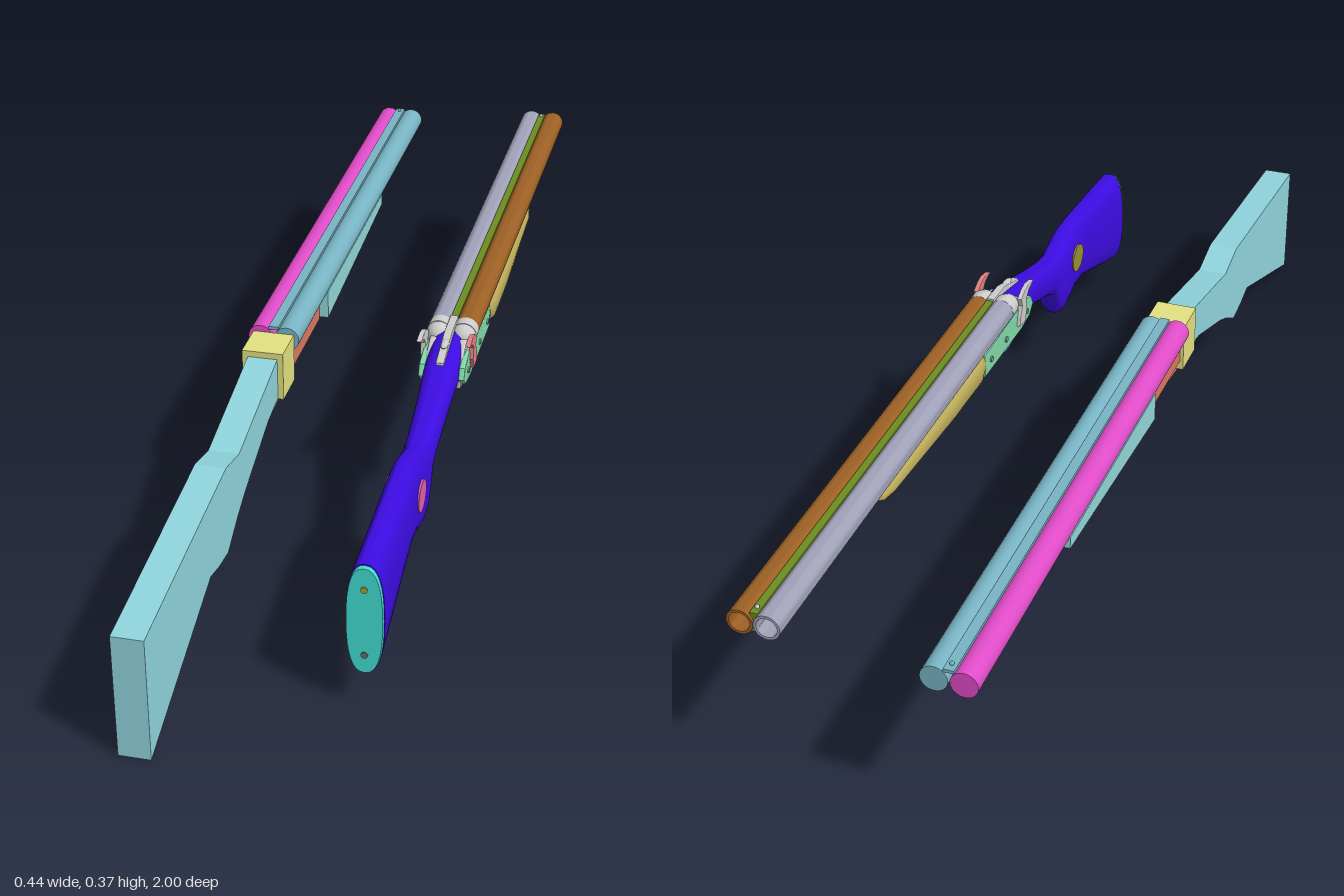
import * as THREE from 'three';
import { toCreasedNormals } from 'three/addons/utils/BufferGeometryUtils.js';

const V2 = (p) => new THREE.Vector2(p[0], p[1]);

function add(parent, name, geometry, color, x = 0, y = 0, z = 0) {
  const mesh = new THREE.Mesh(geometry, new THREE.MeshStandardMaterial({ color }));
  mesh.name = name;
  mesh.position.set(x, y, z);
  parent.add(mesh);
  return mesh;
}

// Side profile of [z, y] points, given a width along x and centred on x = 0
function slab(points, width, bevel = 0) {
  const g = new THREE.ExtrudeGeometry(new THREE.Shape(points.map(V2)), {
    depth: width - 2 * bevel, bevelEnabled: bevel > 0, bevelSize: bevel,
    bevelThickness: bevel, bevelOffset: -bevel, bevelSegments: 2,
  });
  g.translate(0, 0, bevel - width / 2);
  return g.rotateY(-Math.PI / 2);
}

// Superellipse sections [z, bottom, top, halfWidth] joined in order of rising z
function loft(sections, power = 2.5, n = 32) {
  const pos = [], index = [];
  const bend = (v) => Math.sign(v) * Math.abs(v) ** (2 / power);
  for (const [z, low, high, half] of sections) {
    for (let j = 0; j < n; j++) {
      const a = (j / n) * Math.PI * 2;
      pos.push(half * bend(Math.cos(a)), (low + high) / 2 + (high - low) / 2 * bend(Math.sin(a)), z);
    }
  }
  const last = sections.length - 1, c0 = pos.length / 3;
  for (const i of [0, last]) pos.push(0, (sections[i][1] + sections[i][2]) / 2, sections[i][0]);
  for (let j = 0; j < n; j++) {
    const k = (j + 1) % n;
    for (let i = 0; i < last; i++) {
      const a = i * n + j, b = i * n + k;
      index.push(a, b, b + n, a, b + n, a + n);
    }
    index.push(c0, k, j, c0 + 1, last * n + j, last * n + k);
  }
  const g = new THREE.BufferGeometry();
  g.setAttribute('position', new THREE.Float32BufferAttribute(pos, 3));
  g.setIndex(index);
  return toCreasedNormals(g, 0.7);
}

// Hollow tube starting at the origin and running toward -z
function boredTube(outer, inner, length) {
  const profile = [[inner, 0], [outer, 0], [outer, length], [inner, length], [inner, 0]].map(V2);
  return toCreasedNormals(new THREE.LatheGeometry(profile, 28).rotateX(-Math.PI / 2), 0.7);
}

const disc = (r, depth, n = 20) => new THREE.CylinderGeometry(r, r, depth, n);
const box = (w, h, d) => new THREE.BoxGeometry(w, h, d);

// Simple block version
function blockGun() {
  const gun = new THREE.Group();
  gun.name = 'blockGun';
  add(gun, 'stock', slab([
    [1, 0.003], [1, 0.24], [0.54, 0.284], [0.46, 0.266], [0.2, 0.318], [0.2, 0.236],
    [0.27, 0.225], [0.43, 0.17], [0.48, 0.148], [0.545, 0.112], [0.6, 0.118], [0.65, 0.13],
  ], 0.057), 0x8fd3dc);
  add(gun, 'receiver', box(0.079, 0.096, 0.08), 0xe2e080, 0, 0.282, 0.16);
  add(gun, 'actionBody', box(0.066, 0.065, 0.22), 0xd87860, 0, 0.285, 0.01);
  add(gun, 'triggerGuard', slab([[0.185, 0.205], [0.095, 0.215], [0.105, 0.255], [0.185, 0.24]], 0.034), 0xe08080);
  add(gun, 'foreEnd', slab([[-0.1, 0.257], [-0.1, 0.315], [-0.58, 0.315], [-0.58, 0.292]], 0.102), 0x92d6d8);
  for (const [side, name, color] of [[-1, 'rightBarrel', 0xe04cc8], [1, 'leftBarrel', 0x78b4c4]]) {
    add(gun, name, disc(0.024, 1.12, 24).rotateX(Math.PI / 2), color, side * 0.0255, 0.319, -0.44);
  }
  add(gun, 'rib', box(0.019, 0.006, 1.12), 0x78b4c4, 0, 0.34, -0.44);
  add(gun, 'bead', new THREE.SphereGeometry(0.004, 12, 8), 0x78b4c4, 0, 0.345, -0.985);
  return gun;
}

// Finished version
function detailedGun() {
  const gun = new THREE.Group();
  gun.name = 'detailedGun';
  const grey = 0xcccccc;

  // Stock and butt
  add(gun, 'stock', loft([
    [0.08, 0.285, 0.355, 0.034], [0.17, 0.268, 0.336, 0.033], [0.25, 0.242, 0.313, 0.029],
    [0.33, 0.215, 0.292, 0.027], [0.365, 0.198, 0.285, 0.028], [0.385, 0.15, 0.285, 0.029],
    [0.4, 0.135, 0.287, 0.03], [0.42, 0.13, 0.294, 0.03], [0.45, 0.137, 0.303, 0.03],
    [0.48, 0.148, 0.306, 0.03], [0.54, 0.148, 0.304, 0.03], [0.777, 0.07, 0.285, 0.033],
  ]), 0x3c0ce0);
  add(gun, 'buttPlate', loft([[0.776, 0.071, 0.283, 0.032], [0.785, 0.074, 0.281, 0.031]]), 0x40dcd0);
  for (const [y, color] of [[0.24, 0xa8a030], [0.11, 0x607070]]) {
    add(gun, 'buttScrew', disc(0.006, 0.004).rotateX(Math.PI / 2), color, 0, y, 0.785);
  }
  for (const [side, color] of [[1, 0xe060b0], [-1, 0x98902c]]) {
    const inlay = disc(0.032, 0.004, 28).rotateZ(Math.PI / 2).scale(1, 0.9, 1);
    add(gun, 'stockInlay', inlay, color, side * 0.03, 0.235, 0.475);
  }

  // Barrels and rib
  for (const [side, name, color] of [[-1, 'rightBarrel', 0xa0a0b8], [1, 'leftBarrel', 0x9c6024]]) {
    add(gun, name, boredTube(0.0235, 0.0185, 1.05), color, side * 0.0238, 0.342, 0.05);
  }
  add(gun, 'rib', box(0.014, 0.014, 1.04), 0x6c8c20, 0, 0.355, -0.475);
  add(gun, 'lowerRib', box(0.014, 0.01, 1.04), 0x6c8c20, 0, 0.33, -0.475);
  add(gun, 'bead', new THREE.SphereGeometry(0.004, 12, 8), grey, 0, 0.364, -0.98);

  // Fore-end
  add(gun, 'foreEnd', loft([
    [-0.59, 0.31, 0.322, 0.028], [-0.575, 0.302, 0.325, 0.042], [-0.54, 0.298, 0.326, 0.047],
    [-0.26, 0.277, 0.332, 0.051], [-0.13, 0.272, 0.333, 0.051], [-0.1, 0.278, 0.331, 0.045],
  ], 3), 0xb8a858);
  for (const z of [-0.2, -0.4]) add(gun, 'foreEndScrew', disc(0.006, 0.006), 0x807848, 0, z === -0.2 ? 0.274 : 0.286, z);

  // Receiver with breech fences, top strap and lever
  add(gun, 'receiver', slab([
    [-0.1, 0.275], [0.15, 0.272], [0.16, 0.31], [0.1, 0.345], [0.05, 0.345], [0.045, 0.325], [-0.1, 0.325],
  ], 0.072, 0.004), grey);
  add(gun, 'topStrap', slab([[0.04, 0.33], [0.04, 0.366], [0.1, 0.363], [0.18, 0.338], [0.18, 0.325]], 0.016, 0.003), grey);
  const lever = add(gun, 'topLever', new THREE.SphereGeometry(0.008, 16, 10), grey, 0, 0.353, 0.13);
  lever.scale.set(0.9, 0.7, 2.6);
  for (const side of [-1, 1]) {
    const x = side * 0.0238;
    add(gun, 'breechRing', disc(0.0238, 0.025, 28).rotateX(Math.PI / 2), grey, x, 0.342, 0.055);
    const fence = add(gun, 'breechFence', new THREE.SphereGeometry(0.0235, 24, 16), grey, x, 0.341, 0.067);
    fence.scale.z = 1.1;

    // Lock plate, its pins, and the hammer
    add(gun, 'lockPlate', slab([
      [-0.1, 0.278], [0.1, 0.274], [0.145, 0.28], [0.165, 0.298], [0.155, 0.318],
      [0.12, 0.33], [0.04, 0.328], [-0.1, 0.325],
    ], 0.012, 0.003), 0x80d8a8, side * 0.038);
    for (const [z, y] of [[0.125, 0.3], [0.01, 0.3], [-0.07, 0.302]]) {
      add(gun, 'lockPin', disc(0.006, 0.006, 16).rotateZ(Math.PI / 2), 0x70a890, side * 0.044, y, z);
    }
    add(gun, 'hammer', slab([
      [0.07, 0.295], [0.1, 0.292], [0.112, 0.315], [0.108, 0.338], [0.122, 0.352],
      [0.148, 0.36], [0.12, 0.366], [0.1, 0.362], [0.08, 0.352], [0.085, 0.335], [0.075, 0.315],
    ], 0.01, 0.002), side > 0 ? 0xe08080 : grey, side * 0.046);
  }

  // Trigger guard bow and two triggers
  const bow = new THREE.CatmullRomCurve3([
    [0.03, 0.272], [0.045, 0.245], [0.075, 0.222], [0.11, 0.213], [0.145, 0.218], [0.17, 0.24], [0.215, 0.252],
  ].map(([z, y]) => new THREE.Vector3(0, y, z)));
  add(gun, 'triggerGuard', new THREE.TubeGeometry(bow, 40, 0.004, 10).scale(2, 1, 1), 0x7088e0);
  for (const [x, z] of [[0.006, 0.08], [-0.006, 0.12]]) {
    const curve = new THREE.QuadraticBezierCurve3(
      new THREE.Vector3(x, 0.277, z), new THREE.Vector3(x, 0.25, z + 0.014), new THREE.Vector3(x, 0.23, z - 0.004));
    add(gun, 'trigger', new THREE.TubeGeometry(curve, 12, 0.0035, 8), grey);
  }
  return gun;
}

export function createModel() {
  const model = new THREE.Group();
  model.name = 'pairOfDoubleBarrelGuns';
  const block = blockGun(), detailed = detailedGun();
  block.position.x = -0.168;
  detailed.position.x = 0.165;
  model.add(block, detailed);
  return model;
}
